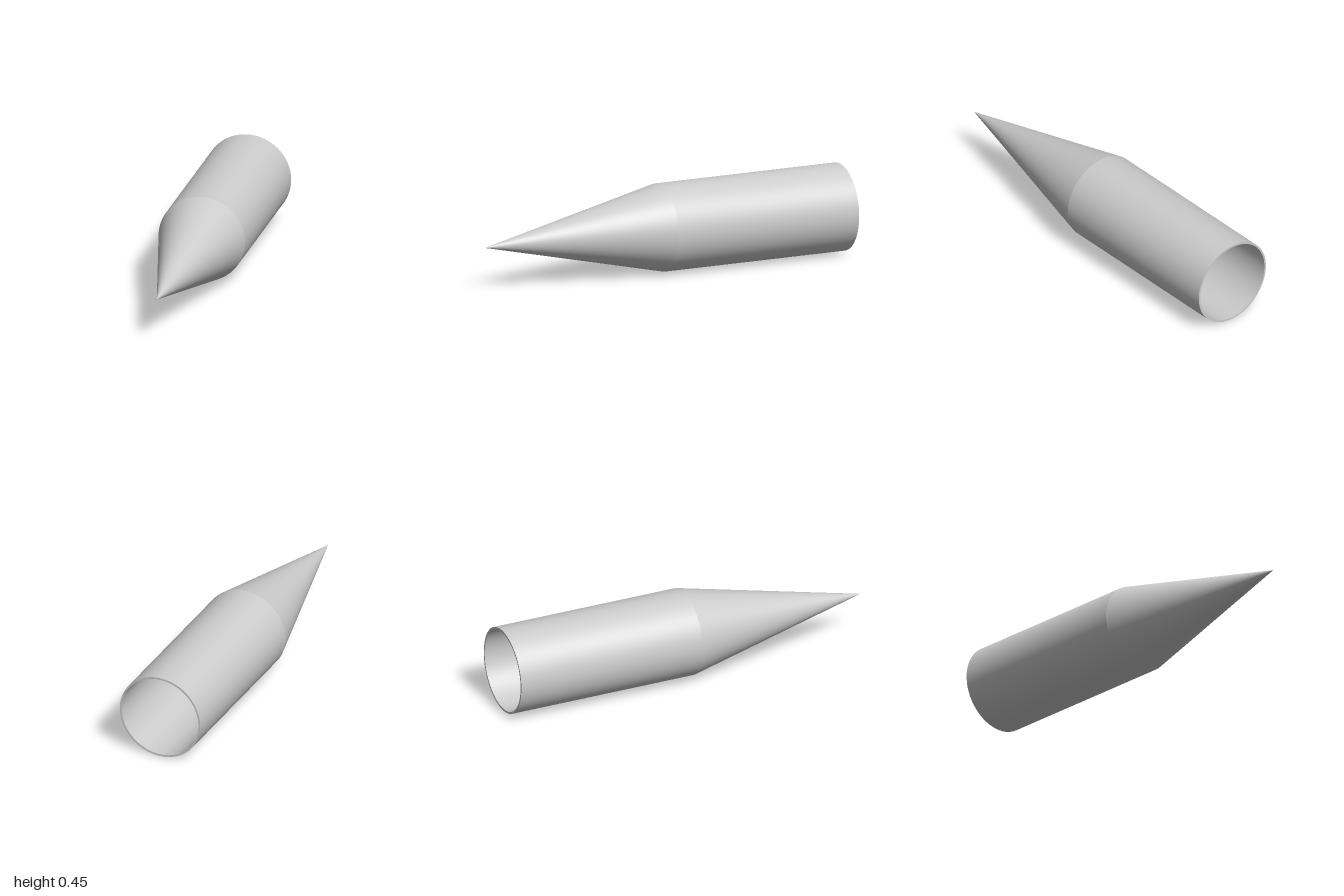
import * as THREE from 'three';

const RADIUS = 0.225;
const WALL = 0.01;
const BACK = -1, SHOULDER = 0.015, TIP = 1;
const SEGMENTS = 96;

export function createModel() {
  const model = new THREE.Group();
  const material = new THREE.MeshStandardMaterial({ color: 0xcccccc });

  // Revolves one straight profile segment [radius, z] -> [radius, z] about the z axis
  const addSurface = (name, ...profile) => {
    const points = profile.map(([r, z]) => new THREE.Vector2(r, z));
    const geometry = new THREE.LatheGeometry(points, SEGMENTS).rotateX(Math.PI / 2);
    const mesh = new THREE.Mesh(geometry, material);
    mesh.name = name;
    mesh.position.y = RADIUS;
    model.add(mesh);
  };

  const inner = RADIUS - WALL;
  const innerTip = TIP - WALL * (TIP - SHOULDER) / RADIUS;

  // Outer skin: straight tube and pointed nose
  addSurface('tubeOuter', [RADIUS, BACK], [RADIUS, SHOULDER]);
  addSurface('noseOuter', [RADIUS, SHOULDER], [0, TIP]);

  // Hollow inside, facing inward
  addSurface('noseInner', [0, innerTip], [inner, SHOULDER]);
  addSurface('tubeInner', [inner, SHOULDER], [inner, BACK]);

  // Thin ring closing the wall at the open back end
  addSurface('backRim', [inner, BACK], [RADIUS, BACK]);

  return model;
}
